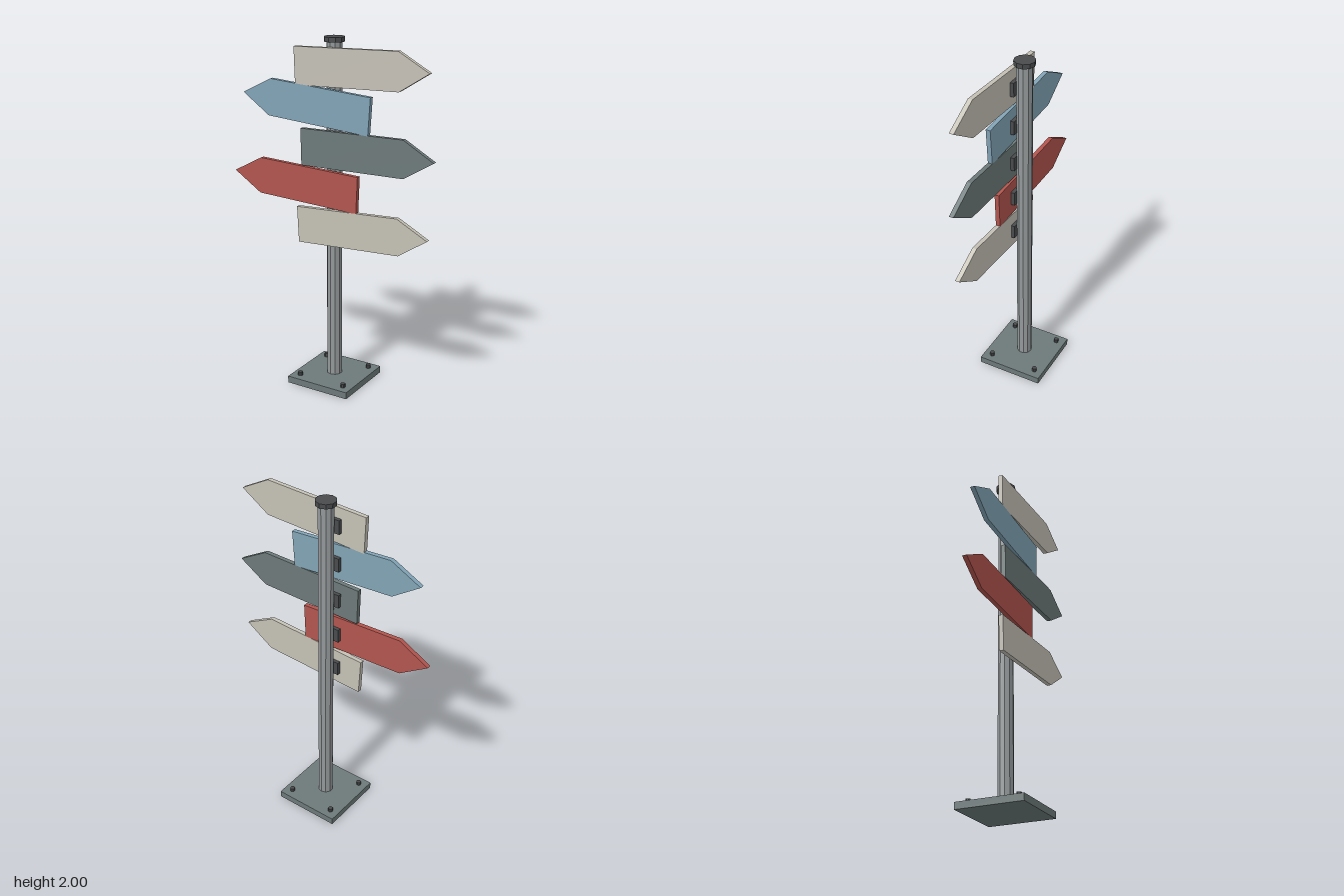
import * as THREE from 'three';

const mat = (name, color, flatShading = true) => {
  const m = new THREE.MeshStandardMaterial({ color, flatShading });
  m.name = name;
  return m;
};

export function createModel() {
  const cream = mat('cream paint', 0xc5c1b6);
  const blue = mat('blue paint', 0x82a4b6);
  const slate = mat('slate paint', 0x6d7979);
  const red = mat('red paint', 0xb2554e);
  const steel = mat('grey steel', 0x94999b);
  const dark = mat('dark metal', 0x494b4d);

  const model = new THREE.Group();
  model.name = 'signpost';
  const postX = -0.012;

  const add = (name, geometry, material, x, y, z) => {
    const mesh = new THREE.Mesh(geometry, material);
    mesh.name = name;
    mesh.position.set(x, y, z);
    model.add(mesh);
    return mesh;
  };

  // Base plate with four bolts
  add('basePlate', new THREE.BoxGeometry(0.394, 0.04, 0.394), slate, postX, 0.02, 0);
  const boltGeo = new THREE.CylinderGeometry(0.014, 0.014, 0.024, 8);
  for (const sx of [-1, 1]) {
    for (const sz of [-1, 1]) add('bolt', boltGeo, dark, postX + sx * 0.145, 0.05, sz * 0.145);
  }

  // Ten-sided post and cap
  add('post', new THREE.CylinderGeometry(0.044, 0.044, 1.94, 10), steel, postX, 1.01, 0);
  add('cap', new THREE.CylinderGeometry(0.058, 0.058, 0.026, 10), dark, postX, 1.987, 0);

  // Arrow board: square end at the origin, tip pointing along dir
  const boardGeometry = (dir) => {
    const h = 0.104;
    const shape = new THREE.Shape(
      [[0, -h], [0.635, -h], [0.812, 0], [0.635, h], [0, h]].map(([x, y]) => new THREE.Vector2(dir * x, y))
    );
    return new THREE.ExtrudeGeometry(shape, { depth: 0.026, bevelEnabled: false });
  };

  // Boards: colour, direction, square end position, tilt
  const boards = [
    [cream, 1, -0.218, 1.838, 0.034],
    [blue, -1, 0.248, 1.607, -0.067],
    [slate, 1, -0.181, 1.394, 0.02],
    [red, -1, 0.176, 1.167, -0.039],
    [cream, 1, -0.206, 0.942, 0.052],
  ];
  const bracketGeo = new THREE.BoxGeometry(0.118, 0.08, 0.022);
  boards.forEach(([material, dir, x, y, tilt], i) => {
    add('arrowBoard', boardGeometry(dir), material, x, y, 0.053).rotation.z = tilt;
    // Bracket joining the board to the post
    add('bracket', bracketGeo, dark, postX, 1.845 - i * 0.2235, 0.0425);
  });

  return model;
}
